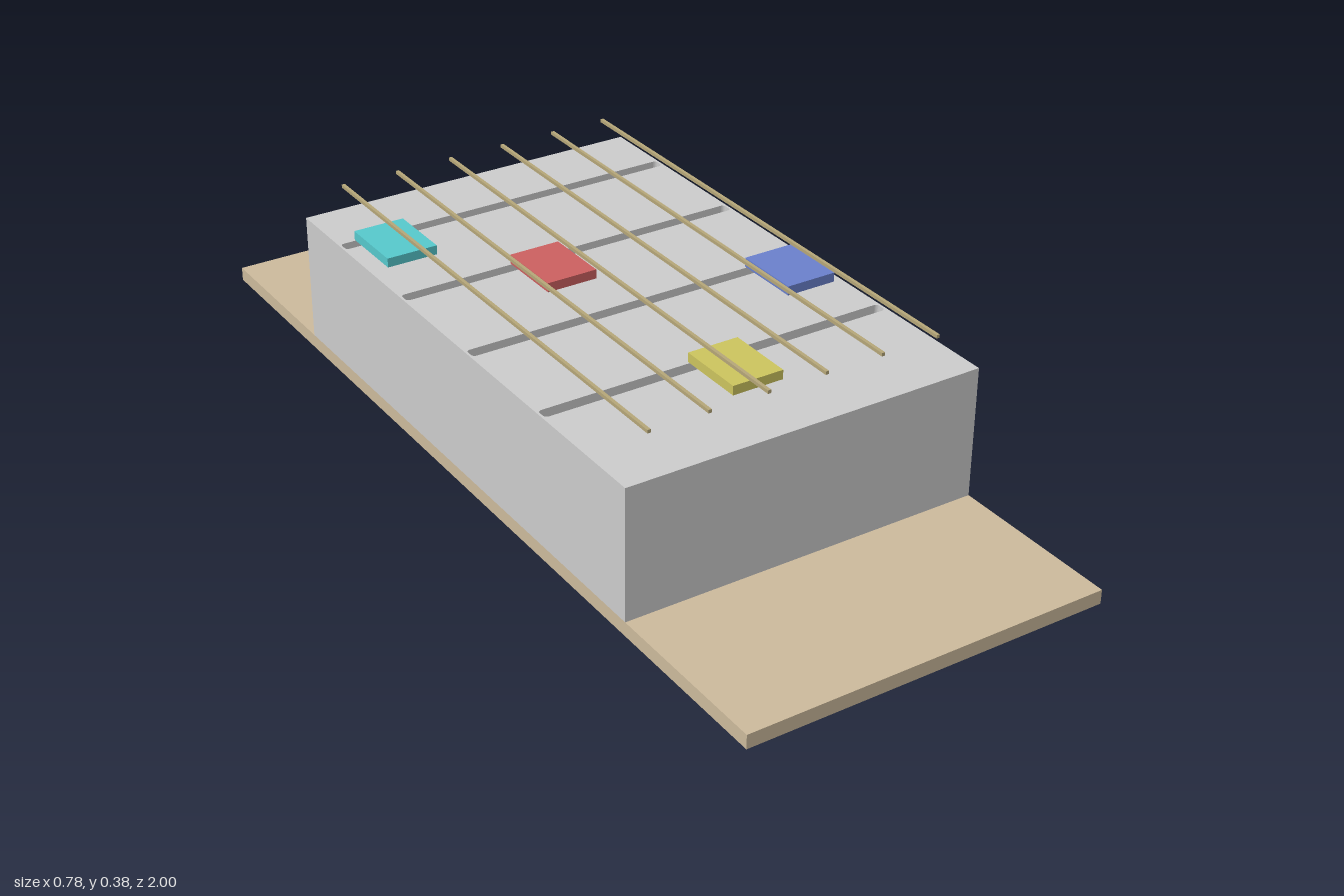
import * as THREE from 'three';

const paint = (name, color) => {
  const m = new THREE.MeshStandardMaterial({ color });
  m.name = name;
  return m;
};

// rounded rectangle outline, used for the slots
function slotPath(x, y, w, h, r) {
  const p = new THREE.Path();
  const a = w / 2 - r, b = h / 2 - r;
  p.absarc(x + a, y + b, r, 0, Math.PI / 2);
  p.absarc(x - a, y + b, r, Math.PI / 2, Math.PI);
  p.absarc(x - a, y - b, r, Math.PI, Math.PI * 1.5);
  p.absarc(x + a, y - b, r, Math.PI * 1.5, Math.PI * 2);
  p.closePath();
  return p;
}

export function createModel() {
  const group = new THREE.Group();
  const grey = paint('light grey', 0xcccccc);
  const tan = paint('tan', 0xccba9c);
  const cordTan = paint('cord tan', 0xb5a678);

  const add = (name, geometry, material, x, y, z) => {
    const mesh = new THREE.Mesh(geometry, material);
    mesh.name = name;
    mesh.position.set(x, y, z);
    group.add(mesh);
    return mesh;
  };
  const box = (name, w, h, d, material, x, y, z) =>
    add(name, new THREE.BoxGeometry(w, h, d), material, x, y, z);

  // base board and the lower part of the block
  const width = 0.78, length = 1.25, top = 0.31, slotDepth = 0.04;
  box('baseBoard', width, 0.03, 2, tan, 0, 0.015, 0);
  const lowerHeight = top - slotDepth - 0.03;
  box('blockBody', width, lowerHeight, length, grey, 0, 0.03 + lowerHeight / 2, 0);

  // top layer with four cross slots cut through it
  const w = width / 2, l = length / 2;
  const deck = new THREE.Shape([
    new THREE.Vector2(-w, -l), new THREE.Vector2(w, -l),
    new THREE.Vector2(w, l), new THREE.Vector2(-w, l),
  ]);
  for (const z of [-0.46, -0.195, 0.07, 0.335]) {
    deck.holes.push(slotPath(0, -z, 0.77, 0.027, 0.008));
  }
  const deckGeometry = new THREE.ExtrudeGeometry(deck, {
    depth: slotDepth, bevelEnabled: false, curveSegments: 4,
  });
  deckGeometry.rotateX(-Math.PI / 2);
  add('slottedTop', deckGeometry, grey, 0, top - slotDepth, 0);

  // coloured sliding blocks, each on a slightly smaller foot
  const sliders = [
    ['cyan', 0x56c8cc, -0.297, -0.398],
    ['red', 0xcc6060, -0.08, -0.134],
    ['blue', 0x6a80cc, 0.312, 0.13],
    ['yellow', 0xccc45e, -0.002, 0.394],
  ];
  for (const [name, color, x, z] of sliders) {
    const material = paint(name, color);
    box(name + 'Slider', 0.112, 0.02, 0.148, material, x, 0.323, z);
    box(name + 'SliderFoot', 0.09, 0.004, 0.126, material, x, 0.311, z);
  }

  // six thin square rods above the block
  for (let i = 0; i < 6; i++) {
    box('rod', 0.007, 0.007, 1.175, cordTan, (i - 2.5) * 0.127, 0.381, 0);
  }
  return group;
}
